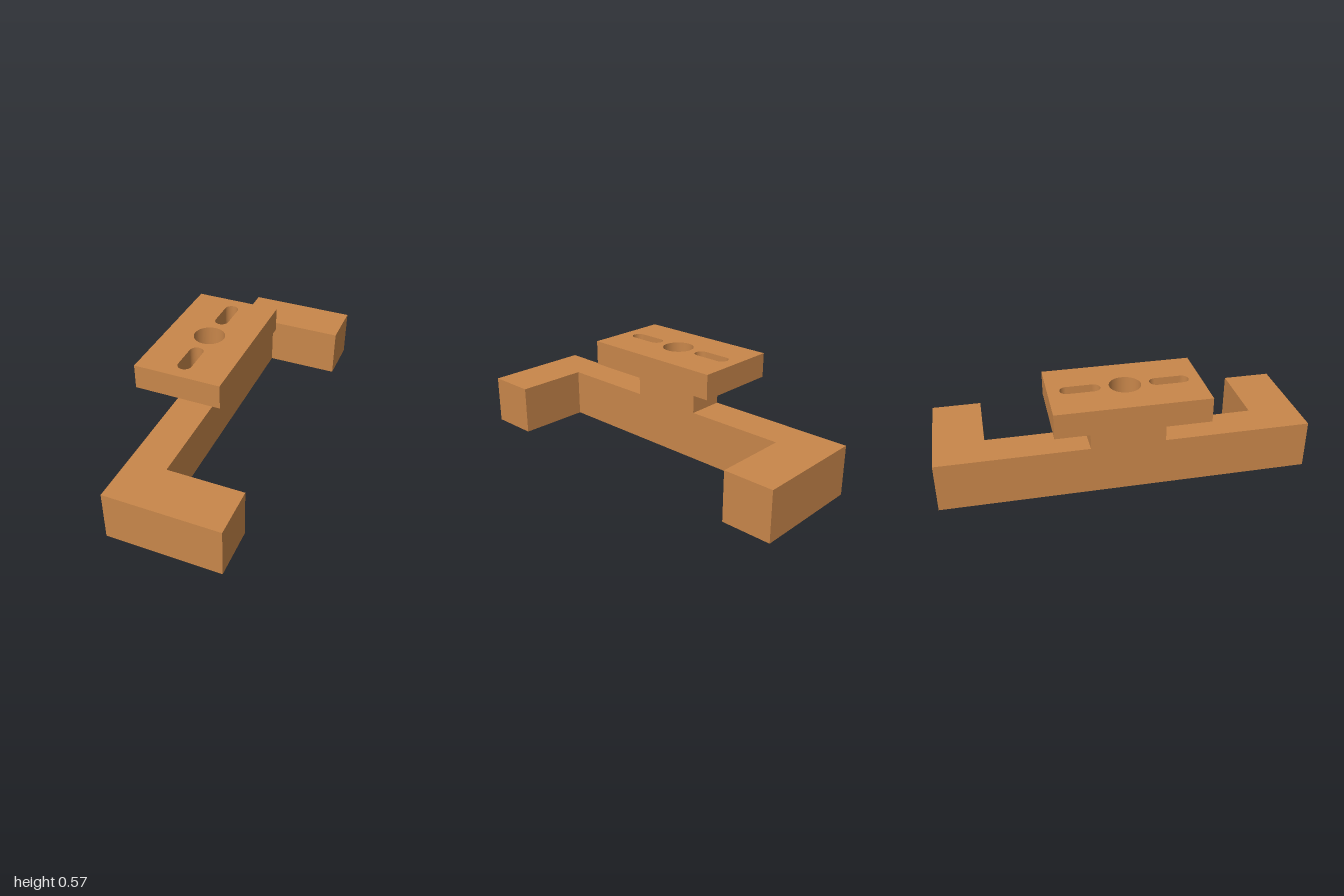
import * as THREE from 'three';

const AXIS = -0.135;   // x of the bore and slots
const BORE = 0.083;    // bore radius
const SLOT = 0.037;    // slot half width
const SLOT_IN = 0.165; // z of the slot's inner arc centre
const SLOT_OUT = 0.3;  // z of the slot's outer arc centre

const polygon = (points) => new THREE.Shape(points.map(([x, z]) => new THREE.Vector2(x, z)));
const rectangle = (x0, x1, z) => polygon([[x0, -z], [x1, -z], [x1, z], [x0, z]]);

// Every layer is pierced by the central bore
function addBore(shape) {
  shape.holes.push(new THREE.Path().absarc(AXIS, 0, BORE, 0, Math.PI * 2, true));
  return shape;
}

// Rounded slot through the plate, on one side of the bore
function slotPath(side) {
  const a = side * (SLOT_IN + SLOT_OUT) / 2;
  const h = (SLOT_OUT - SLOT_IN) / 2;
  const path = new THREE.Path();
  path.absarc(AXIS, a + h, SLOT, 0, Math.PI, false);
  path.absarc(AXIS, a - h, SLOT, Math.PI, Math.PI * 2, false);
  path.closePath();
  return path;
}

// Pedestal outline with the slots opening through both ends
function notchedOutline(x0, x1, z) {
  const s = new THREE.Shape();
  s.moveTo(x0, -z);
  s.lineTo(AXIS - SLOT, -z);
  s.absarc(AXIS, -SLOT_IN, SLOT, Math.PI, 0, true);
  s.lineTo(AXIS + SLOT, -z);
  s.lineTo(x1, -z);
  s.lineTo(x1, z);
  s.lineTo(AXIS + SLOT, z);
  s.absarc(AXIS, SLOT_IN, SLOT, 0, -Math.PI, true);
  s.lineTo(AXIS - SLOT, z);
  s.lineTo(x0, z);
  s.closePath();
  return s;
}

export function createModel() {
  const group = new THREE.Group();
  const copper = new THREE.MeshStandardMaterial({ color: 0xc8864a });
  copper.name = 'copper orange';

  // Extrude a plan outline upward from y0 to y1
  const layer = (name, shape, y0, y1) => {
    const geometry = new THREE.ExtrudeGeometry(addBore(shape), {
      depth: y1 - y0, bevelEnabled: false, curveSegments: 40,
    });
    geometry.rotateX(-Math.PI / 2).translate(0, y0, 0);
    const mesh = new THREE.Mesh(geometry, copper);
    mesh.name = name;
    group.add(mesh);
  };

  // C-shaped base with two end arms
  layer('baseBracket', polygon([
    [-0.235, -1], [0.367, -1], [0.367, -0.733], [-0.035, -0.733],
    [-0.035, 0.733], [0.367, 0.733], [0.367, 1], [-0.235, 1],
  ]), 0, 0.267);

  // Pedestal: solid below, slotted above
  layer('pedestalLower', rectangle(-0.235, -0.035, 0.2), 0.267, 0.333);
  layer('pedestalUpper', notchedOutline(-0.235, -0.035, 0.2), 0.333, 0.434);

  // Mounting plate with two slots
  const plate = rectangle(-0.367, 0.097, 0.4);
  plate.holes.push(slotPath(1), slotPath(-1));
  layer('mountingPlate', plate, 0.434, 0.567);

  return group;
}
